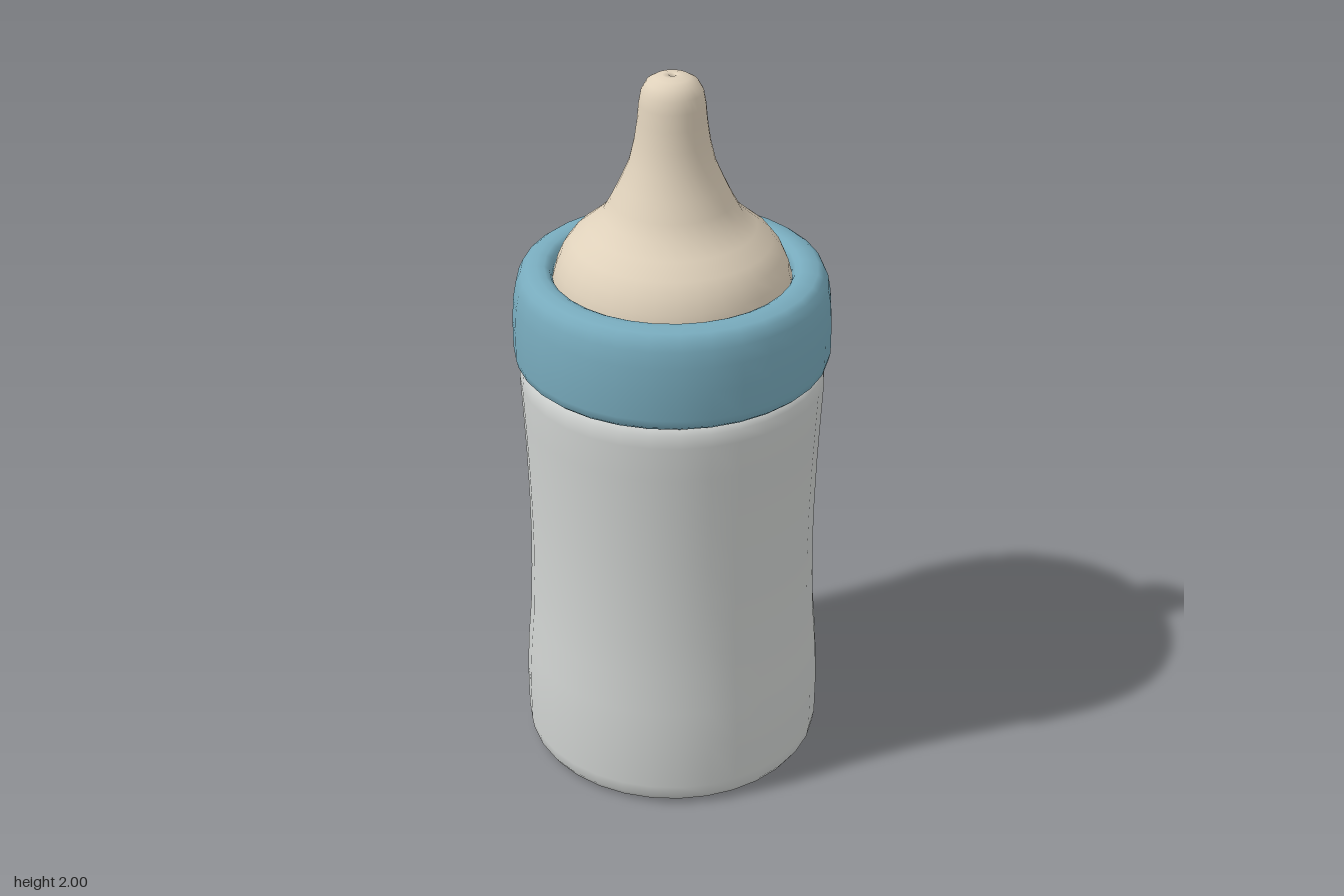
import * as THREE from 'three';

const SEGMENTS = 32;

function material(name, color) {
  const m = new THREE.MeshStandardMaterial({ color });
  m.name = name;
  return m;
}

// Revolves a [radius, height] profile, listed from the underside outwards and up
function revolve(name, profile, mat) {
  const points = profile.map(([r, y]) => new THREE.Vector2(r, y));
  const mesh = new THREE.Mesh(new THREE.LatheGeometry(points, SEGMENTS), mat);
  mesh.name = name;
  return mesh;
}

export function createModel() {
  const group = new THREE.Group();
  group.name = 'babyBottle';
  const plastic = material('pale grey plastic', 0xd0d3d1);
  const blue = material('blue plastic', 0x78abbd);
  const silicone = material('beige silicone', 0xdfd1bb);

  // Waisted bottle with rounded base and shoulder
  group.add(revolve('bottle', [
    [0, 0.004], [0.34, 0.004], [0.375, 0.004], [0.395, 0.012], [0.408, 0.032], [0.413, 0.065],
    [0.414, 0.2], [0.408, 0.31], [0.399, 0.42], [0.394, 0.54], [0.392, 0.66],
    [0.393, 0.78], [0.397, 0.92], [0.403, 1.05], [0.408, 1.15], [0.404, 1.185],
    [0.39, 1.205], [0.36, 1.213], [0.3, 1.215],
  ], plastic));

  // Screw collar with a rolled inner rim
  group.add(revolve('collar', [
    [0.3, 1.21], [0.385, 1.205], [0.405, 1.207], [0.417, 1.218], [0.422, 1.24],
    [0.422, 1.32], [0.418, 1.385], [0.41, 1.43], [0.398, 1.456], [0.382, 1.468],
    [0.355, 1.474], [0.335, 1.472], [0.322, 1.465], [0.315, 1.45], [0.313, 1.42], [0.313, 1.35],
  ], blue));

  // Teat with a flared base and small feeding hole
  group.add(revolve('teat', [
    [0.314, 1.4], [0.314, 1.44], [0.304, 1.478], [0.288, 1.515], [0.262, 1.55],
    [0.22, 1.585], [0.182, 1.62], [0.16, 1.66], [0.136, 1.71], [0.112, 1.765],
    [0.098, 1.825], [0.09, 1.88], [0.086, 1.925], [0.08, 1.958], [0.066, 1.983],
    [0.046, 1.995], [0.025, 2], [0.01, 2], [0.009, 1.99], [0.009, 1.97], [0, 1.97],
  ], silicone));

  return group;
}
